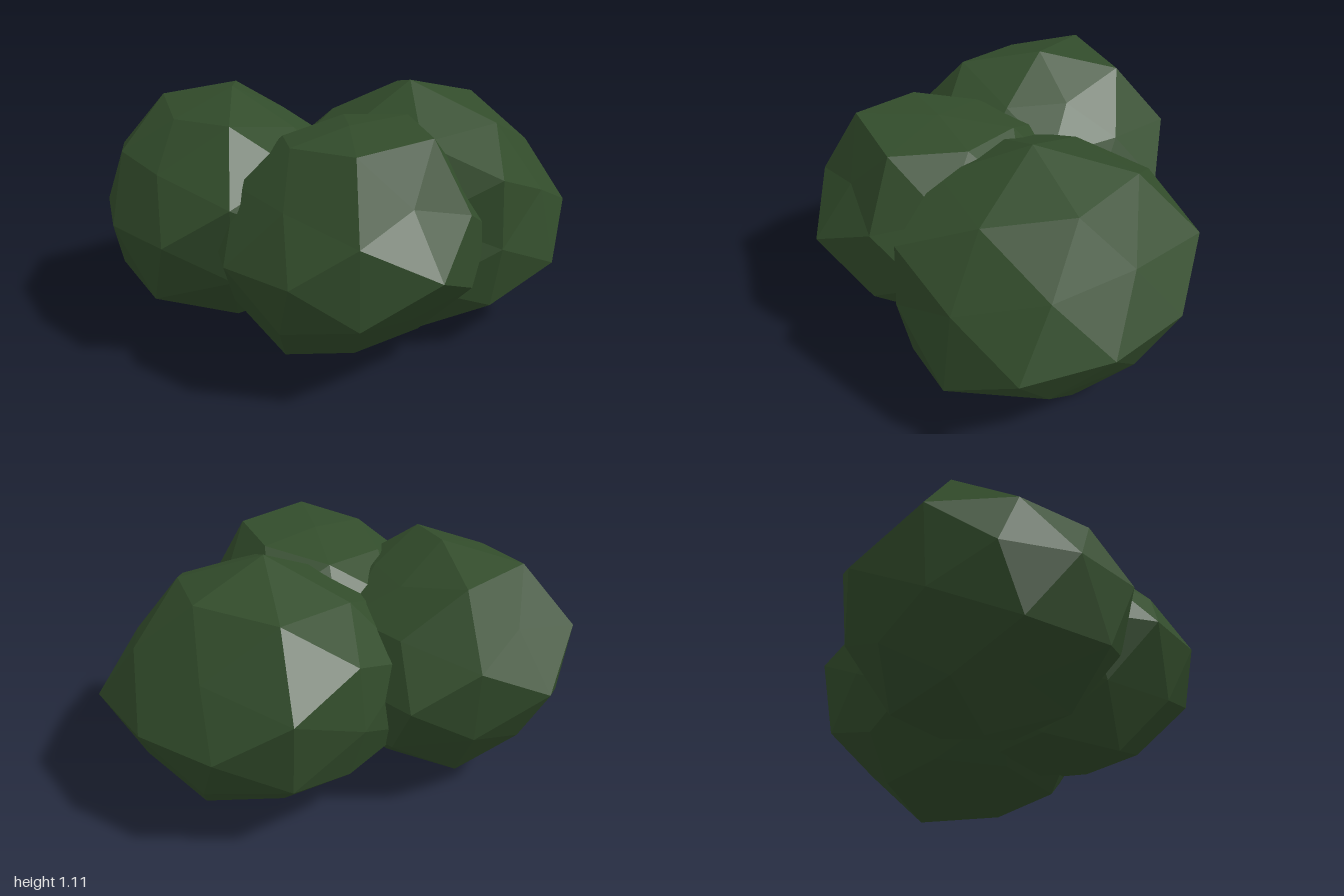
import * as THREE from 'three';

const leaf = new THREE.MeshStandardMaterial({ color: 0x324c2b, flatShading: true });
leaf.name = 'dark leaf green';

// Corner bumps: rough direction of a corner (x, y, z) and its radius
const sideBumps = [
  [1, 0, 0, 0.7], [0, 1, 0, 0.75], [0, -1, 0, 0.6], [0, 0, 1, 0.64], [0, 0, -1, 0.625],
  [0.85, 0, 0.53, 0.755], [0.85, 0, -0.53, 0.715], [0.53, 0.85, 0, 0.72], [0.53, -0.85, 0, 0.745],
  [-0.53, 0.85, 0, 0.64], [-0.53, -0.85, 0, 0.6], [-0.3, -0.8, -0.5, 0.62],
  [0, 0.53, 0.85, 0.73], [0, -0.53, 0.85, 0.69], [0, -0.53, -0.85, 0.63],
  [0.5, 0.3, 0.8, 0.66], [0.5, -0.3, 0.8, 0.74], [0.5, 0.3, -0.8, 0.75], [0.5, -0.3, -0.8, 0.69],
  [-0.5, 0.3, 0.8, 0.56], [-0.5, -0.3, 0.8, 0.63],
  [0.8, 0.5, 0.3, 0.68], [0.8, 0.5, -0.3, 0.63], [0.8, -0.5, 0.3, 0.67], [0.8, -0.5, -0.3, 0.67],
  [0.3, 0.8, -0.5, 0.74], [0.3, 0.8, 0.5, 0.69], [-0.3, 0.8, 0.5, 0.67], [-0.3, 0.8, -0.5, 0.65],
  [0.3, -0.8, 0.5, 0.71], [0.3, -0.8, -0.5, 0.64],
];
const backBumps = [
  [-1, 0, 0, 0.61], [1, 0, 0, 0.55], [0, 1, 0, 0.585], [0, -1, 0, 0.6], [0, 0, -1, 0.645],
  [-0.85, 0, -0.53, 0.588], [-0.85, 0, 0.53, 0.64], [0.85, 0, -0.53, 0.64],
  [-0.53, 0.85, 0, 0.555], [0.53, 0.85, 0, 0.5], [-0.53, -0.85, 0, 0.53],
  [0, -0.53, -0.85, 0.588], [0, 0.53, -0.85, 0.53],
  [0.8, 0.5, 0.3, 0.53], [0.8, 0.5, -0.3, 0.54],
  [-0.8, 0.5, 0.3, 0.58], [-0.8, 0.5, -0.3, 0.58], [-0.8, -0.5, 0.3, 0.655], [-0.8, -0.5, -0.3, 0.62],
  [0.5, 0.3, -0.8, 0.63], [-0.5, 0.3, -0.8, 0.64], [-0.5, 0.3, 0.8, 0.65],
  [0.3, 0.8, -0.5, 0.62], [-0.3, 0.8, -0.5, 0.62], [0.3, 0.8, 0.5, 0.51], [-0.3, 0.8, 0.5, 0.625],
  [0.3, -0.8, -0.5, 0.64], [-0.3, -0.8, -0.5, 0.58],
];
const frontBumps = [
  [-1, 0, 0, 0.61], [0, 0, 1, 0.615], [0, 1, 0, 0.51], [0, -1, 0, 0.53],
  [-0.53, 0.85, 0, 0.55], [0.53, 0.85, 0, 0.59], [-0.53, -0.85, 0, 0.635],
  [-0.85, 0, 0.53, 0.6], [0.85, 0, 0.53, 0.61], [0, 0.53, 0.85, 0.5], [0, -0.53, 0.85, 0.5],
  [0.3, 0.8, 0.5, 0.62], [-0.3, 0.8, 0.5, 0.62], [0.3, -0.8, 0.5, 0.55], [-0.3, -0.8, 0.5, 0.55],
  [0.3, 0.8, -0.5, 0.56], [-0.3, 0.8, -0.5, 0.52],
  [0.8, 0.5, 0.3, 0.54], [-0.8, 0.5, 0.3, 0.53], [-0.8, 0.5, -0.3, 0.55],
  [0.5, 0.3, 0.8, 0.56], [-0.5, 0.3, 0.8, 0.57], [0.5, -0.3, 0.8, 0.58], [-0.5, -0.3, 0.8, 0.6],
];

// A faceted ball with uneven corners, squashed in height
function clump(name, center, radius, squash, bumps) {
  const geometry = new THREE.IcosahedronGeometry(1, 1);
  const pos = geometry.attributes.position;
  const dirs = bumps.map(([x, y, z, r]) => ({ dir: new THREE.Vector3(x, y, z).normalize(), r }));
  const v = new THREE.Vector3();
  for (let i = 0; i < pos.count; i++) {
    v.fromBufferAttribute(pos, i).normalize();
    const bump = dirs.find(({ dir }) => dir.dot(v) > 0.98);
    v.multiplyScalar(bump ? bump.r : radius);
    pos.setXYZ(i, v.x, v.y * squash, v.z);
  }
  geometry.computeVertexNormals();
  const mesh = new THREE.Mesh(geometry, leaf);
  mesh.name = name;
  mesh.position.set(...center);
  return mesh;
}

export function createModel() {
  const bush = new THREE.Group();
  bush.name = 'bush';
  bush.add(
    clump('sideClump', [0.3, 0.51, 0.115], 0.69, 0.8, sideBumps),
    clump('backClump', [-0.39, 0.58, -0.29], 0.6, 0.89, backBumps),
    clump('frontClump', [-0.19, 0.57, 0.32], 0.58, 0.92, frontBumps),
  );
  return bush;
}
